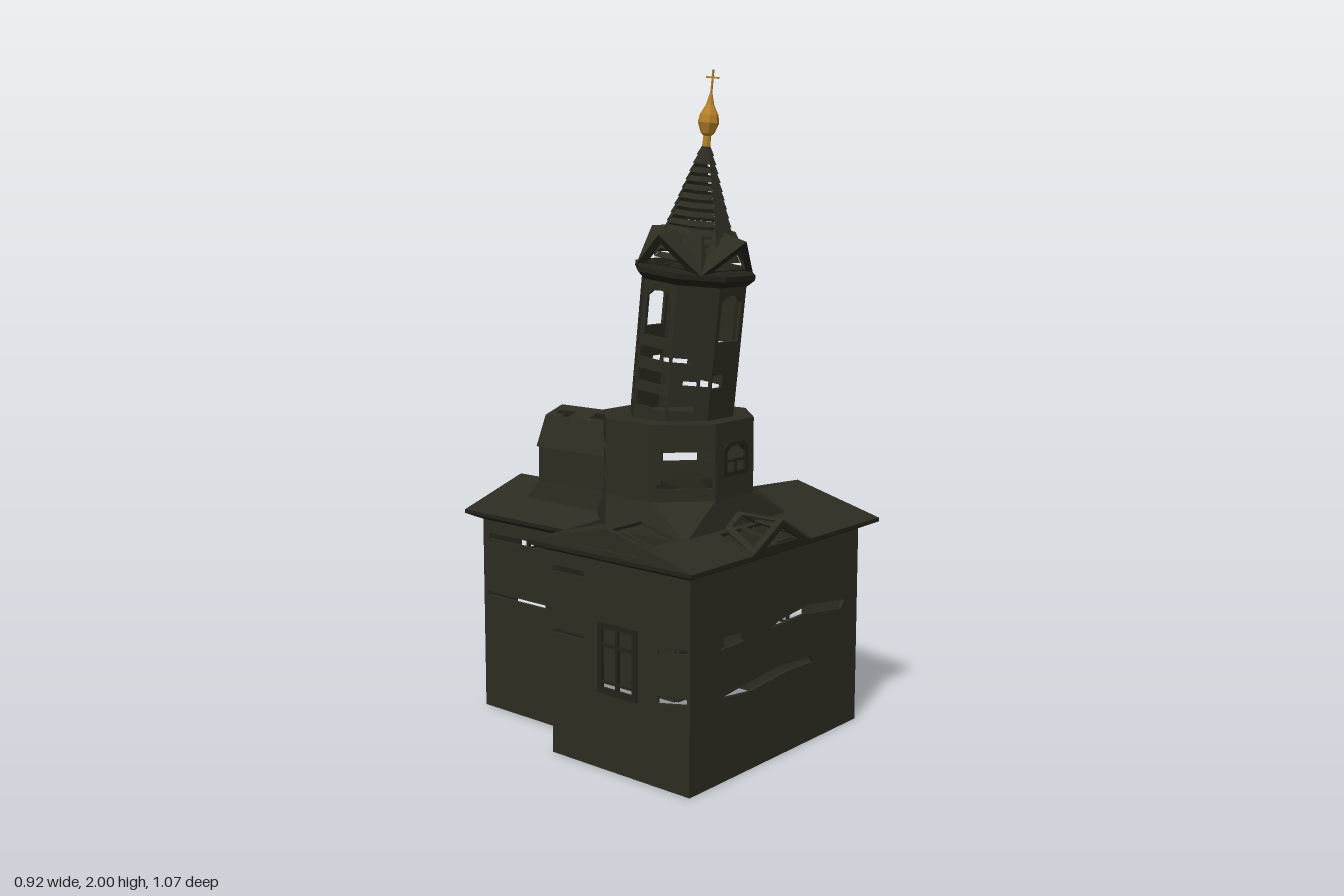
import * as THREE from 'three';

const wood = new THREE.MeshStandardMaterial({ color: 0x2d2c21, side: THREE.DoubleSide });
wood.name = 'dark weathered wood';
const trim = new THREE.MeshStandardMaterial({ color: 0x232219, side: THREE.DoubleSide });
trim.name = 'darker trim wood';
const gold = new THREE.MeshStandardMaterial({ color: 0xb98428 });
gold.name = 'old gold';

const V = (x, y, z) => new THREE.Vector3(x, y, z);
const DEG = Math.PI / 180;
const rect = (x0, y0, x1, y1) => [[x0, y0], [x1, y0], [x1, y1], [x0, y1]];
const arch = (w, y0, y1) => [[-w, y0], [w, y0], [w, y1 - 0.02], [w * 0.6, y1 - 0.004], [0, y1],
  [-w * 0.6, y1 - 0.004], [-w, y1 - 0.02]];
const toPath = (pts, C) => new C(pts.map(p => new THREE.Vector2(p[0], p[1])));

function add(parent, name, geo, mat) {
  const m = new THREE.Mesh(geo, mat);
  m.name = name;
  parent.add(m);
  return m;
}

// Thin board with holes, lying in the plane spanned by u and v
function slab(parent, name, o, u, v, pts, holes = [], mat = wood, depth = 0.01) {
  const s = toPath(pts, THREE.Shape);
  s.holes = holes.map(h => toPath(h, THREE.Path));
  const g = new THREE.ExtrudeGeometry(s, { depth, bevelEnabled: false });
  g.translate(0, 0, -depth);
  const n = u.clone().cross(v).normalize();
  g.applyMatrix4(new THREE.Matrix4().makeBasis(u, v, n).setPosition(o));
  return add(parent, name, g, mat);
}

// Upright board turned by a degrees (0 faces front, 90 faces the model's left)
function wall(parent, name, x, z, a, pts, holes, mat, depth) {
  const r = a * DEG;
  return slab(parent, name, V(x, 0, z), V(Math.cos(r), 0, -Math.sin(r)), V(0, 1, 0), pts, holes, mat, depth);
}

// Flat-faced surface from a list of polygons with 3 or 4 corners
function faces(parent, name, polys, mat = wood) {
  const pos = [];
  for (const p of polys)
    for (let i = 1; i < p.length - 1; i++) for (const q of [p[0], p[i], p[i + 1]]) pos.push(q.x, q.y, q.z);
  const g = new THREE.BufferGeometry();
  g.setAttribute('position', new THREE.Float32BufferAttribute(pos, 3));
  g.computeVertexNormals();
  return add(parent, name, g, mat);
}

// Skin between stacked rings, each { y, p: [[x, z], ...] }
function loft(parent, name, rings, mat) {
  const polys = [];
  for (let k = 0; k < rings.length - 1; k++) {
    const A = rings[k], B = rings[k + 1], n = A.p.length;
    for (let i = 0; i < n; i++) {
      const j = (i + 1) % n;
      polys.push([V(A.p[i][0], A.y, A.p[i][1]), V(A.p[j][0], A.y, A.p[j][1]),
        V(B.p[j][0], B.y, B.p[j][1]), V(B.p[i][0], B.y, B.p[i][1])]);
    }
  }
  return faces(parent, name, polys, mat);
}

// Octagon corners from the centre-to-side distance
const octagon = (ap, cx = 0, cz = 0) => Array.from({ length: 8 }, (_, k) => {
  const a = (k + 0.5) * 45 * DEG, R = ap / Math.cos(22.5 * DEG);
  return [cx + Math.sin(a) * R, cz + Math.cos(a) * R];
});

function lowerWalls(g) {
  wall(g, 'frontWall', 0, 0.487, 0, rect(-0.415, 0, 0.41, 0.655), [
    [[-0.28, 0.39], [-0.17, 0.393], [-0.18, 0.42], [-0.27, 0.425]],
    [[-0.05, 0.4], [0.12, 0.405], [0.32, 0.38], [0.34, 0.405], [0.15, 0.43], [0, 0.415]],
    [[-0.28, 0.25], [-0.15, 0.235], [0.05, 0.25], [0.18, 0.245], [0.16, 0.265], [0, 0.275], [-0.14, 0.265]]]);
  for (const s of [1, -1]) {
    const x = s > 0 ? 0.41 : -0.415, xb = s > 0 ? 0.16 : -0.26;
    const q = pts => pts.map(([z, y]) => [-s * z, y]);
    // main side wall with gable, window and torn boards
    wall(g, 'sideWall', x, 0, 90 * s, q([[-0.04, 0], [0.487, 0], [0.487, 0.655], [0.22, 0.72], [-0.04, 0.655]]), [
      q(rect(0.157, 0.24, 0.287, 0.43)), q(rect(-0.034, 0.557, 0.09, 0.576)), q(rect(-0.034, 0.371, 0.09, 0.383)),
      q([[0.37, 0.385], [0.48, 0.41], [0.48, 0.422], [0.37, 0.4]]),
      q([[0.37, 0.245], [0.48, 0.265], [0.48, 0.28], [0.37, 0.27]])]);
    wall(g, 'sideWindowFrame', x + s * 0.006, 0, 90 * s, q(rect(0.147, 0.23, 0.297, 0.44)),
      [[0.165, 0.217], [0.227, 0.28]].flatMap(([a, b]) =>
        [[0.248, 0.262], [0.268, 0.37], [0.38, 0.425]].map(([c, d]) => q(rect(a, c, b, d)))), trim, 0.009);
    wall(g, 'backArmSideWall', xb, 0, 90 * s, q(rect(-0.497, 0, -0.04, 0.655)),
      [q(rect(-0.47, 0.557, -0.047, 0.576)), q(rect(-0.48, 0.371, -0.047, 0.383))]);
    wall(g, 'mainBackWall', 0, -0.04, 180, rect(-s * 0.41, 0, -xb, 0.655));
    // side gable end under the eaves
    wall(g, 'sideGable', s * 0.46, 0, 90 * s, q([[-0.093, 0.65], [0.53, 0.65], [0.22, 0.73]]),
      [q([[0.1, 0.665], [0.34, 0.665], [0.22, 0.705]])]);
  }
  wall(g, 'backWall', 0, -0.497, 180, [[-0.16, 0], [0.26, 0], [0.26, 0.655], [0.05, 0.72], [-0.16, 0.655]],
    [rect(-0.03, 0.06, 0.12, 0.37), rect(0.01, 0.48, 0.1, 0.57)]);
  wall(g, 'doorFrame', 0, -0.505, 180, rect(-0.05, 0.005, 0.15, 0.42), [rect(-0.025, 0.065, 0.115, 0.365)], trim);
  wall(g, 'backWindowFrame', 0, -0.505, 180, rect(0, 0.47, 0.11, 0.58),
    [rect(0.015, 0.485, 0.05, 0.565), rect(0.06, 0.485, 0.095, 0.565)], trim);
}

function lowerRoof(g) {
  const wallLine = [[0.41, 0.487], [0.41, -0.04], [0.16, -0.04], [0.16, -0.497], [-0.26, -0.497], [-0.26, -0.04],
    [-0.415, -0.04], [-0.415, 0.487]];
  const eaveLine = [[0.46, 0.53], [0.46, -0.093], [0.2, -0.093], [0.2, -0.538], [-0.3, -0.538], [-0.3, -0.093],
    [-0.46, -0.093], [-0.46, 0.53]];
  loft(g, 'eaveSoffit', [{ y: 0.618, p: wallLine }, { y: 0.638, p: eaveLine }, { y: 0.65, p: eaveLine }], trim);
  // main roof, ridge running side to side
  slab(g, 'frontRoofSlope', V(0, 0.65, 0.53), V(1, 0, 0), V(0, 0.258, -1), rect(-0.46, 0, 0.46, 0.31),
    [rect(-0.445, 0.17, -0.32, 0.3), rect(-0.165, 0.02, -0.06, 0.14), rect(-0.04, 0.02, 0.055, 0.14)]);
  slab(g, 'rearRoofSlope', V(0, 0.65, -0.093), V(-1, 0, 0), V(0, 0.256, 1), rect(-0.46, 0, 0.46, 0.313),
    [rect(-0.4, 0.168, -0.215, 0.298), rect(0.2, 0.013, 0.29, 0.3)]);
  // back arm roof, ridge running front to back
  slab(g, 'backRoofSlope', V(-0.3, 0.65, 0), V(0, 0, 1), V(1, 0.32, 0),
    [[-0.538, 0], [-0.093, 0], [0.1, 0.25], [-0.538, 0.25]], [rect(-0.33, 0.14, -0.1, 0.245)]);
  slab(g, 'backRoofSlope', V(0.2, 0.65, 0), V(0, 0, -1), V(-1, 0.32, 0),
    [[0.093, 0], [0.538, 0], [0.538, 0.25], [-0.1, 0.25]], [rect(0.11, 0.013, 0.38, 0.113), rect(0.1, 0.135, 0.33, 0.245)]);
  wall(g, 'backGable', 0, -0.538, 180, [[-0.2, 0.65], [0.3, 0.65], [0.05, 0.73]]);
  // small front gablet with open slopes
  for (const s of [1, -1])
    slab(g, 'gabletSlope', V(-0.05 - s * 0.14, 0.652, 0), V(0, 0, s), V(s, 0.571, 0),
      [[s * 0.53, 0], [s * 0.53, 0.14], [s * 0.22, 0.14]],
      [[[s * 0.51, 0.027], [s * 0.51, 0.13], [s * 0.39, 0.13], [s * 0.39, 0.085]]], wood, 0.006);
  wall(g, 'gabletFront', 0, 0.53, 0, [[-0.19, 0.65], [0.09, 0.65], [-0.05, 0.73]],
    [[[-0.13, 0.662], [0.03, 0.662], [-0.05, 0.708]]], trim);
}

function octagonTier(g) {
  const cx = -0.055, cz = 0.14, ap = 0.218, h = 0.09;
  const base = [[0.2, 0.375], [0.2, 0.375], [0.2, 0.07], [0.07, -0.09], [-0.167, -0.09], [-0.3, 0.07],
    [-0.3, 0.375], [-0.3, 0.375]];
  loft(g, 'tierSkirt', [{ y: 0.68, p: base }, { y: 0.775, p: octagon(ap, cx, cz) }]);
  for (let k = 0; k < 8; k++) {
    const a = k * 45 * DEG, holes = [];
    if (k % 2) holes.push(rect(-0.082, 0.812, 0.082, 0.842), rect(-0.082, 0.895, 0.082, 0.925));
    if (k % 4 === 0) holes.push(arch(0.045, 0.85, 0.93));
    wall(g, 'tierWall', cx + Math.sin(a) * ap, cz + Math.cos(a) * ap, k * 45, rect(-h, 0.77, h, 1), holes);
  }
  wall(g, 'tierWindowFrame', cx, cz + ap + 0.006, 0, arch(0.058, 0.84, 0.942),
    [rect(-0.042, 0.852, -0.003, 0.882), rect(0.003, 0.852, 0.042, 0.882), arch(0.042, 0.888, 0.93)], trim, 0.008);
  const top = octagon(ap, cx, cz).map(([x, z]) => V(x, 1, z));
  faces(g, 'tierTop', top.map((p, i) => [p, top[(i + 1) % 8], V(cx, 1, cz)]));
}

function backChapel(g) {
  const cx = -0.05, w = 0.117;
  loft(g, 'chapelSkirt', [{ y: 0.68, p: [[0.08, 0], [0.08, -0.39], [-0.178, -0.39], [-0.178, 0]] },
    { y: 0.75, p: [[cx + w, 0], [cx + w, -0.335], [cx - w, -0.335], [cx - w, 0]] }]);
  for (const s of [1, -1]) {
    wall(g, 'chapelSideWall', cx + s * w, 0, 90 * s, rect(s * 0.02, 0.7, s * 0.335, 0.86));
    slab(g, 'chapelLowerRoof', V(cx - s * w, 0.86, 0), V(0, 0, s), V(s, 2.26, 0), rect(-s * 0.345, 0, -s * 0.05, 0.042));
    slab(g, 'chapelUpperRoof', V(cx - s * 0.075, 0.955, 0), V(0, 0, s), V(s, 0.333, 0), rect(-s * 0.345, 0, -s * 0.05, 0.075),
      s > 0 ? [[[-0.32, 0.02], [-0.28, 0.02], [-0.28, 0.005], [-0.25, 0.005], [-0.25, 0.04], [-0.32, 0.04]],
        rect(-0.17, 0.015, -0.105, 0.05)]
        : [[[0.15, 0.005], [0.24, 0.005], [0.24, 0.03], [0.29, 0.03], [0.29, 0.05], [0.15, 0.05]]]);
  }
  wall(g, 'chapelBackWall', cx, -0.335, 180,
    [[-w, 0.7], [w, 0.7], [w, 0.86], [0.075, 0.955], [0, 0.98], [-0.075, 0.955], [-w, 0.86]], [arch(0.045, 0.83, 0.92)]);
  wall(g, 'chapelWindowFrame', cx, -0.342, 180, arch(0.06, 0.815, 0.935),
    [rect(-0.042, 0.832, -0.003, 0.9), rect(0.003, 0.832, 0.042, 0.9)], trim, 0.008);
}

function bellTower(g) {
  const t = new THREE.Group();
  t.name = 'leaningTower';
  t.position.set(-0.055, 1, 0.155);
  t.rotation.x = 0.115;
  g.add(t);
  // shaft with missing logs and bell openings
  const ap = 0.148, h = ap * Math.tan(22.5 * DEG);
  for (let k = 0; k < 8; k++) {
    const a = k * 45 * DEG, holes = [], e = h - 0.006;
    if (k % 4 === 2) holes.push(rect(-e, 0.035, e, 0.08), rect(-e, 0.108, e, 0.145), rect(-e, 0.178, e, 0.212));
    else if (k % 2) holes.push(rect(-e, 0.04, 0.02, 0.07), rect(-0.02, 0.115, e, 0.14), rect(-e, 0.18, 0.01, 0.205));
    else holes.push(rect(-e, 0.11, -0.01, 0.15));
    if (k % 4 === 0 || k === 6) holes.push(arch(0.046, 0.245, 0.38));
    wall(t, 'towerWall', Math.sin(a) * ap, Math.cos(a) * ap, k * 45, rect(-h, -0.015, h, 0.43), holes);
  }
  loft(t, 'towerCornice', [{ y: 0.405, p: octagon(0.15) }, { y: 0.425, p: octagon(0.17) },
    { y: 0.44, p: octagon(0.17) }, { y: 0.45, p: octagon(0.12) }], trim);
  // four flaring gables with open fronts
  const dir = (deg, r, y) => V(Math.sin(deg * DEG) * r, y, Math.cos(deg * DEG) * r);
  for (let k = 0; k < 4; k++) {
    const a = k * 90, P = dir(a, 0.178, 0.54), L = dir(a - 45, 0.172, 0.437), R = dir(a + 45, 0.172, 0.437);
    const I = dir(a, 0.06, 0.56), c = P.clone().add(L).add(R).divideScalar(3);
    const tri = [P, L, R], inner = tri.map(p => p.clone().lerp(c, 0.4));
    faces(t, 'gableRoof', [[P, L, I], [P, I, R], [L, dir(a - 45, 0.09, 0.56), I], [R, I, dir(a + 45, 0.09, 0.56)]]);
    faces(t, 'gableFront', tri.map((p, i) => [p, tri[(i + 1) % 3], inner[(i + 1) % 3], inner[i]]), trim);
  }
  // spire of stepped boards, gaps on the flanks
  const polys = [], n = 13, y0 = 0.47, y1 = 0.79;
  const rad = y => 0.012 + 0.108 * (y1 - y) / (y1 - y0);
  for (let i = 0; i < n; i++)
    for (let f = 0; f < 8; f++) {
      const gap = [0, 1, 5, 6].includes(f) && i < 11 ? 0.62 : 1;
      const ya = y0 + (y1 - y0) * i / n, yb = ya + (y1 - y0) / n * gap;
      const A = octagon(rad(ya) + 0.004), B = octagon(rad(yb)), j = (f + 1) % 8;
      polys.push([V(A[f][0], ya, A[f][1]), V(A[j][0], ya, A[j][1]), V(B[j][0], yb, B[j][1]), V(B[f][0], yb, B[f][1])]);
    }
  faces(t, 'spire', polys);
  // gilded onion and cross
  const prof = [[0.013, 0.77], [0.011, 0.82], [0.02, 0.828], [0.031, 0.858], [0.027, 0.88], [0.012, 0.908], [0.004, 0.94]];
  const onion = new THREE.LatheGeometry(prof.map(p => new THREE.Vector2(...p)), 8).toNonIndexed();
  onion.computeVertexNormals();
  add(t, 'onionDome', onion, gold);
  add(t, 'crossPost', new THREE.BoxGeometry(0.004, 0.08, 0.005), gold).position.y = 0.966;
  add(t, 'crossArm', new THREE.BoxGeometry(0.004, 0.005, 0.045), gold).position.y = 0.984;
}

export function createModel() {
  const g = new THREE.Group();
  g.name = 'ruinedChapel';
  lowerWalls(g);
  lowerRoof(g);
  octagonTier(g);
  backChapel(g);
  bellTower(g);
  return g;
}
